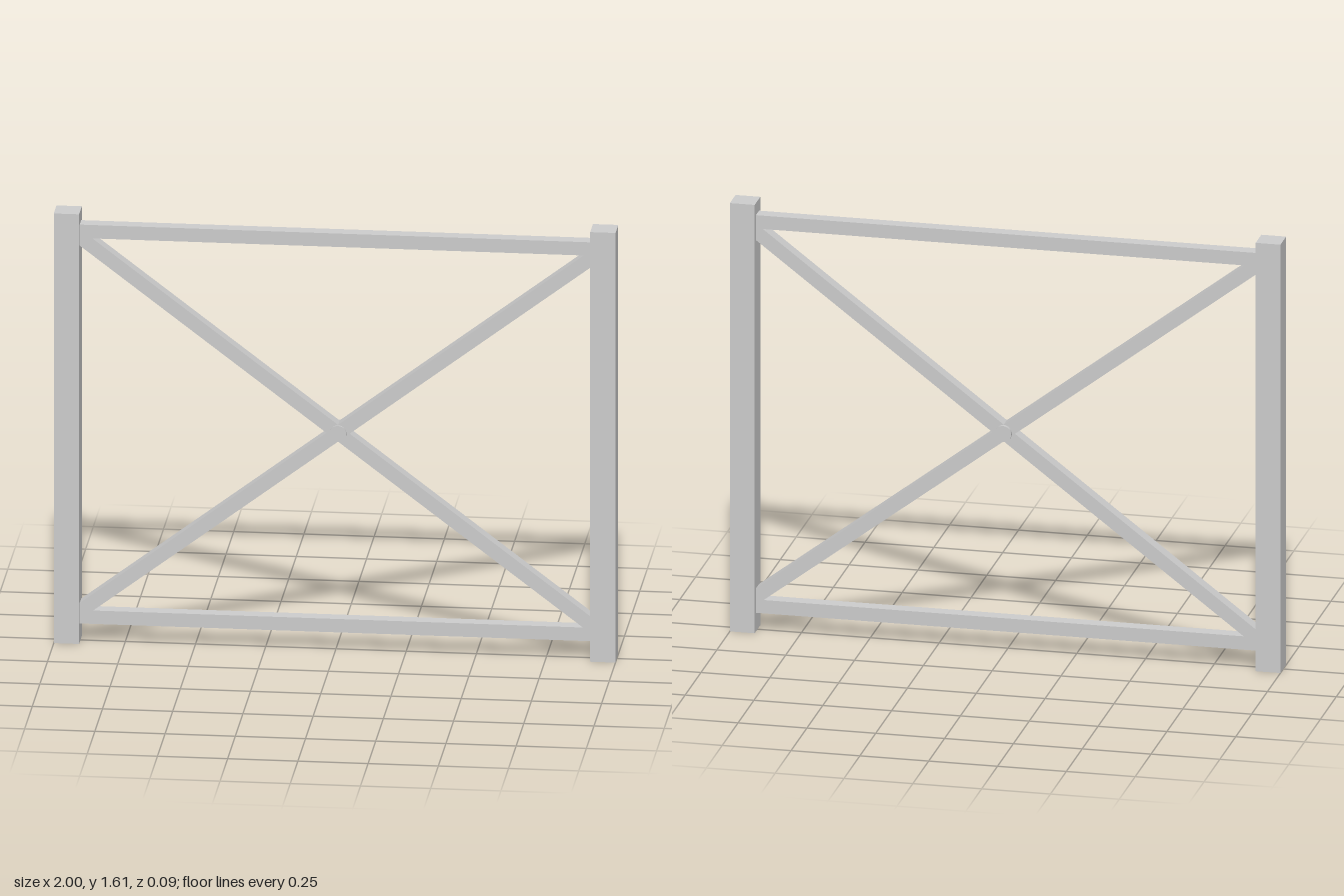
import * as THREE from 'three';

export function createModel() {
  const model = new THREE.Group();
  const material = new THREE.MeshStandardMaterial({ color: 0xcccccc });

  const add = (name, geometry, x, y, z = 0) => {
    const mesh = new THREE.Mesh(geometry, material);
    mesh.name = name;
    mesh.position.set(x, y, z);
    model.add(mesh);
    return mesh;
  };

  const height = 1.605, post = 0.09, bar = 0.05;
  const postX = 1 - post / 2;

  // Upright posts
  add('leftPost', new THREE.BoxGeometry(post, height, post), postX, height / 2);
  add('rightPost', new THREE.BoxGeometry(post, height, post), -postX, height / 2);

  // Horizontal rails between the posts
  const span = 2 - 2 * post;
  add('topRail', new THREE.BoxGeometry(span, bar, bar), 0, 1.535);
  add('bottomRail', new THREE.BoxGeometry(span, bar, bar), 0, 0.095);

  // Crossed braces, ends let into the posts
  const centerX = 0.01, centerY = 0.814, angle = Math.atan(0.76);
  for (const side of [1, -1]) {
    const brace = add(side > 0 ? 'risingBrace' : 'fallingBrace',
      new THREE.BoxGeometry(1.87 / Math.cos(angle), bar, bar), centerX, centerY);
    brace.rotation.z = side * angle;
  }

  // Pin through the crossing
  const pin = new THREE.CylinderGeometry(0.03, 0.03, 0.07, 32).rotateX(Math.PI / 2);
  add('centerPin', pin, centerX, centerY, -0.002);

  return model;
}
